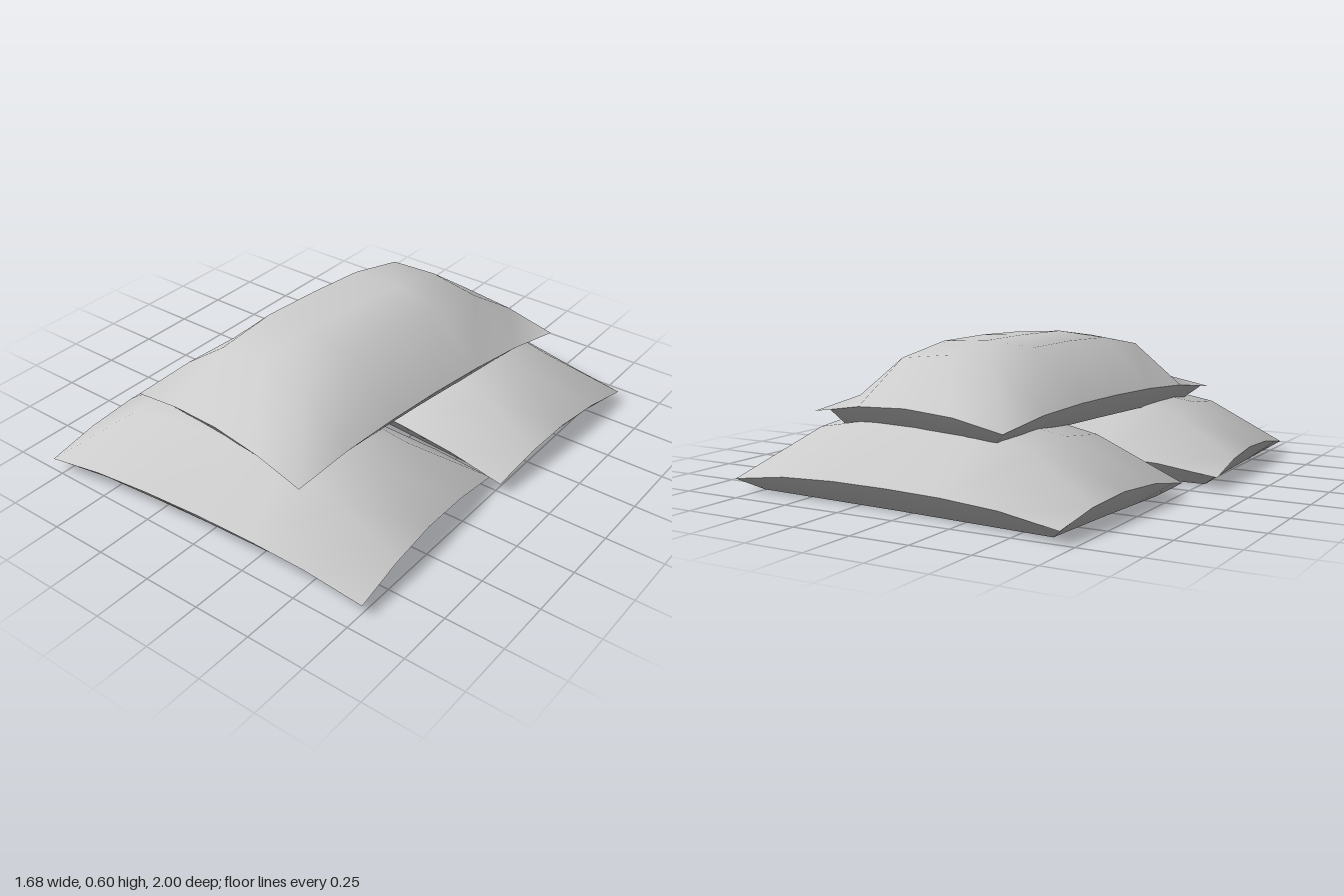
import * as THREE from 'three';
import { mergeGeometries } from 'three/addons/utils/BufferGeometryUtils.js';

const HALF_LENGTH = 0.78, HALF_WIDTH = 0.465;

// Bag height over one quarter: rows from the middle to the long edge,
// columns from the middle to the short edge; the last row and column are the seam
const HEIGHTS = [
  [0.322, 0.318, 0.28, 0.10],
  [0.308, 0.302, 0.255, 0.088],
  [0.10, 0.098, 0.085, 0.05],
];

// Bilinear lookup in the height table
function height(u, v) {
  const a = Math.abs(u) * 3, b = Math.abs(v) * 2;
  const i = Math.min(2, Math.floor(a)), j = Math.min(1, Math.floor(b));
  const row = (r) => THREE.MathUtils.lerp(HEIGHTS[r][i], HEIGHTS[r][i + 1], a - i);
  return THREE.MathUtils.lerp(row(j), row(j + 1), b - j);
}

// One cloth panel on a grid of u and v stations, facing up or down
function panel(us, vs, heightAt, up) {
  const positions = [], indices = [], n = vs.length;
  for (const u of us) {
    for (const v of vs) {
      // The edges are drawn in slightly between the corners
      const x = u * (HALF_LENGTH - 0.006 * (1 - Math.abs(v)));
      const z = v * (HALF_WIDTH - 0.01 * (1 - Math.abs(u)));
      positions.push(x, heightAt(u, v), z);
    }
  }
  for (let i = 0; i < us.length - 1; i++) {
    for (let j = 0; j < n - 1; j++) {
      const a = i * n + j, b = a + n, c = a + 1, d = b + 1;
      if (up) indices.push(a, c, b, b, c, d);
      else indices.push(a, b, c, b, d, c);
    }
  }
  const geometry = new THREE.BufferGeometry();
  geometry.setAttribute('position', new THREE.Float32BufferAttribute(positions, 3));
  geometry.setIndex(indices);
  geometry.computeVertexNormals();
  return geometry;
}

// Domed top and flat underside meeting in a sharp seam
function bagGeometry() {
  const t = 1 / 3;
  const top = panel([-1, -2 * t, -t, 0, t, 2 * t, 1], [-1, -0.5, 0, 0.5, 1], height, true);
  const onSeam = (u, v) => Math.abs(u) === 1 || Math.abs(v) === 1;
  const bottom = panel(
    [-1, -0.9, -2 * t, -t, 0, t, 2 * t, 0.9, 1],
    [-1, -0.82, -0.5, 0, 0.5, 0.82, 1],
    (u, v) => (onSeam(u, v) ? height(u, v) : 0), false);
  return mergeGeometries([top, bottom]);
}

export function createModel() {
  const group = new THREE.Group();
  group.name = 'sandbagStack';
  const geometry = bagGeometry();
  const material = new THREE.MeshStandardMaterial({ color: 0xcccccc });

  // Two bags side by side and one laid across them
  const bags = [
    { name: 'frontBag', position: [-0.042, 0, 0.495], turn: 0.046, scale: 1 },
    { name: 'backBag', position: [0.04, 0, -0.497], turn: -0.068, scale: 0.985 },
    { name: 'topBag', position: [0, 0.277, -0.02], turn: Math.PI / 2 - 0.107, scale: 1.005 },
  ];
  for (const { name, position, turn, scale } of bags) {
    const bag = new THREE.Mesh(geometry, material);
    bag.name = name;
    bag.position.set(...position);
    bag.rotation.y = turn;
    bag.scale.set(scale, 1, scale);
    group.add(bag);
  }
  return group;
}
